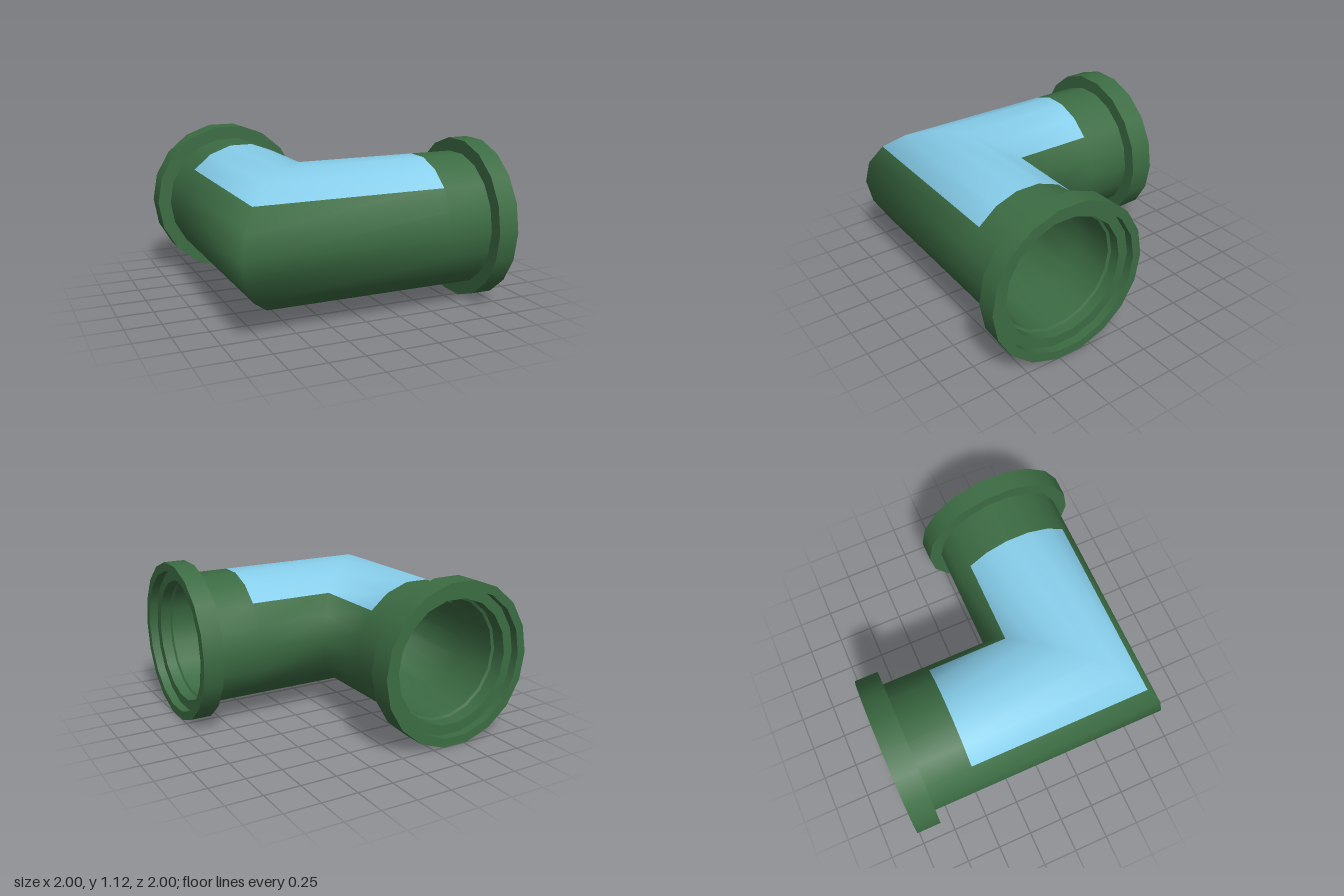
import * as THREE from 'three';
import { mergeGeometries } from 'three/addons/utils/BufferGeometryUtils.js';

const SIDES = 18;
const CX = -0.43, CY = 0.56, CZ = 0.427;   // where the two pipe axes meet
const OUTER = 0.475, INNER = 0.42;
// stations along the elbow: +x end, window end, mitre, window end, -z end
const STATIONS = [{ x: 0.855 }, { x: 0.54 }, {}, { z: -0.505 }, { z: -0.83 }];

// point on the elbow at side i, station j and radius r
function elbowPoint(i, j, r) {
  const a = (i / SIDES) * Math.PI * 2;
  const c = r * Math.cos(a), s = r * Math.sin(a);
  const { x = CX - c, z = CZ + c } = STATIONS[j];
  return [x, CY + s, z];
}

const inWindow = (i, j) => i >= 2 && i < 7 && (j === 1 || j === 2);

// mitred tube with shared normals, keeping only the chosen cells
function tube(r, inward, keep) {
  const pos = [], all = [], kept = [];
  for (let j = 0; j < STATIONS.length; j++)
    for (let i = 0; i < SIDES; i++) pos.push(...elbowPoint(i, j, r));
  for (let j = 0; j < STATIONS.length - 1; j++)
    for (let i = 0; i < SIDES; i++) {
      const k = (i + 1) % SIDES;
      const a = j * SIDES + i, b = j * SIDES + k, c = a + SIDES, d = b + SIDES;
      const cell = inward ? [a, c, b, b, c, d] : [a, b, c, b, d, c];
      all.push(...cell);
      if (keep(i, j)) kept.push(...cell);
    }
  const geo = new THREE.BufferGeometry();
  geo.setAttribute('position', new THREE.Float32BufferAttribute(pos, 3));
  geo.setIndex(all);
  geo.computeVertexNormals();
  geo.setIndex(kept);
  return geo.toNonIndexed();
}

// wall thickness around the window opening
function windowReveal() {
  const pos = [];
  const quad = (i0, j0, i1, j1) => {
    const a = elbowPoint(i0, j0, INNER), b = elbowPoint(i1, j1, INNER);
    const c = elbowPoint(i1, j1, OUTER), d = elbowPoint(i0, j0, OUTER);
    pos.push(...a, ...b, ...c, ...a, ...c, ...d);
  };
  for (const i of [2, 7]) for (const j of [1, 2]) quad(i, j, i, j + 1);
  for (const j of [1, 3]) for (let i = 2; i < 7; i++) quad(i, j, i + 1, j);
  const geo = new THREE.BufferGeometry();
  geo.setAttribute('position', new THREE.Float32BufferAttribute(pos, 3));
  geo.computeVertexNormals();
  return geo;
}

// stepped socket ring along +y from 0 to length, crisp between profile segments
function collarGeometry(length, phiStart) {
  const recess = length - 0.06;
  const profile = [
    [OUTER - 0.02, 0], [0.57, 0], [0.57, length], [0.508, length],
    [0.508, recess], [0.437, recess], [0.437, 0.01], [INNER - 0.001, 0],
  ].map(([r, y]) => new THREE.Vector2(r, y));
  const bands = profile.slice(1).map((p, n) =>
    new THREE.LatheGeometry([profile[n], p], SIDES, phiStart));
  return mergeGeometries(bands);
}

export function createModel() {
  const group = new THREE.Group();
  const green = new THREE.MeshStandardMaterial({ color: 0x3c6c43 });
  const greenThin = new THREE.MeshStandardMaterial({ color: 0x3c6c43, side: THREE.DoubleSide });
  const blue = new THREE.MeshStandardMaterial({ color: 0x87ceeb, side: THREE.DoubleSide });

  const add = (name, geo, mat) => {
    const mesh = new THREE.Mesh(geo, mat);
    mesh.name = name;
    group.add(mesh);
    return mesh;
  };

  // pipe walls with the window cut out of the top
  const wall = (i, j) => !inWindow(i, j);
  add('pipeOuterWall', tube(OUTER, false, wall), green);
  add('pipeInnerWall', tube(INNER, true, wall), green);
  add('windowReveal', windowReveal(), greenThin);

  // pane following the outer surface
  add('windowPane', tube(OUTER, false, inWindow), blue);

  // collars at the two open ends
  const sideCollar = collarGeometry(0.145, 0).rotateZ(-Math.PI / 2);
  add('sideCollar', sideCollar, green).position.set(0.855, CY, CZ);
  const backCollar = collarGeometry(0.17, Math.PI / 2).rotateX(-Math.PI / 2);
  add('backCollar', backCollar, green).position.set(CX, CY, -0.83);

  return group;
}
